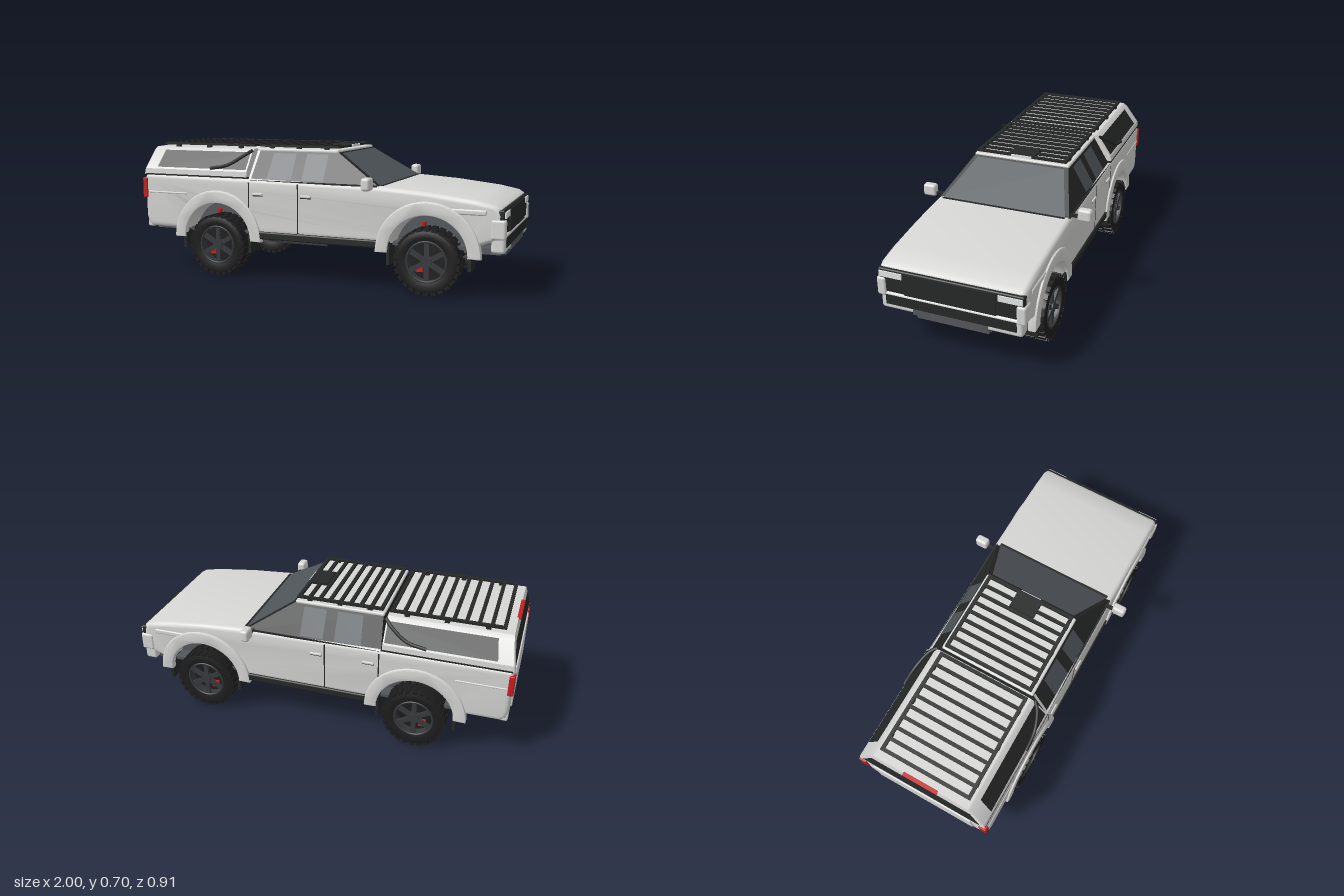
import * as THREE from 'three';
import { toCreasedNormals, mergeGeometries } from 'three/addons/utils/BufferGeometryUtils.js';
import { RoundedBoxGeometry } from 'three/addons/geometries/RoundedBoxGeometry.js';

const mat = (name, color, side = THREE.FrontSide) => {
  const m = new THREE.MeshStandardMaterial({ color, side });
  m.name = name;
  return m;
};

export function createModel() {
  const paint = mat('body paint', 0xd6d6d5);
  const trim = mat('black trim', 0x262727, THREE.DoubleSide);
  const glass = mat('grey glass', 0x50555a, THREE.DoubleSide);
  const rubber = mat('tyre rubber', 0x1d1d1e);
  const steel = mat('chassis steel', 0x54575a);
  const rimMat = mat('dark rim', 0x36393c, THREE.DoubleSide);
  const red = mat('red', 0xc41f1f);
  const lamp = mat('lamp', 0xe4e5e5);

  const root = new THREE.Group();
  root.name = 'pickupTruck';
  const add = (name, geo, m, parent = root) => {
    const mesh = new THREE.Mesh(geo, m);
    mesh.name = name;
    parent.add(mesh);
    return mesh;
  };
  // box given by its extents on each axis
  const box = (name, m, x0, x1, y0, y1, z0, z1, round = 0, parent = root) => {
    const d = [x1 - x0, y1 - y0, z1 - z0];
    const g = round ? new RoundedBoxGeometry(...d, 3, round) : new THREE.BoxGeometry(...d);
    g.translate((x0 + x1) / 2, (y0 + y1) / 2, (z0 + z1) / 2);
    return add(name, g, m, parent);
  };
  // the same box on both sides of the truck
  const pair = (name, m, x0, x1, y0, y1, z0, z1, round = 0) => {
    box(name + 'Left', m, x0, x1, y0, y1, z0, z1, round);
    box(name + 'Right', m, x0, x1, y0, y1, -z1, -z0, round);
  };
  const rod = (name, m, a, b, r, sides = 16) => {
    const p = new THREE.Vector3(...a), q = new THREE.Vector3(...b);
    const mesh = add(name, new THREE.CylinderGeometry(r, r, p.distanceTo(q), sides), m);
    mesh.position.copy(p).lerp(q, 0.5);
    mesh.quaternion.setFromUnitVectors(new THREE.Vector3(0, 1, 0), q.sub(p).normalize());
    return mesh;
  };
  // flat patch drawn in (x, y), laid on a sloping side given by z = zAt(y)
  const patch = (name, m, pts, zAt) => {
    for (const s of [1, -1]) {
      const g = new THREE.ShapeGeometry(new THREE.Shape(pts.map(p => new THREE.Vector2(...p))));
      const a = g.attributes.position;
      for (let i = 0; i < a.count; i++) a.setZ(i, s * zAt(a.getY(i)));
      g.computeVertexNormals();
      add(name, g, m);
    }
  };
  // flat quad from four corners
  const quad = (name, m, pts) => {
    const g = new THREE.BufferGeometry().setFromPoints(pts.map(p => new THREE.Vector3(...p)));
    g.setIndex([0, 1, 2, 0, 2, 3]);
    g.computeVertexNormals();
    return add(name, g, m);
  };
  const wheelX = [-0.53, 0.627], wheelY = 0.165;

  // lower body: side profile with wheel openings
  const side = new THREE.Shape();
  side.moveTo(0.965, 0.25);
  for (const x of [wheelX[1] + 0.01, wheelX[0]]) side.absarc(x, 0.19, 0.2, 0.25, Math.PI - 0.25, false);
  [[-0.955, 0.24], [-0.98, 0.26], [-0.992, 0.3], [-0.992, 0.515], [-0.985, 0.53], [-0.345, 0.53], [0.37, 0.52],
    [0.62, 0.503], [0.85, 0.477], [0.95, 0.457], [0.975, 0.44], [0.985, 0.41], [0.985, 0.3]].forEach(p => side.lineTo(...p));
  const bodyGeo = new THREE.ExtrudeGeometry(side, { depth: 0.67, bevelSize: 0.025, bevelOffset: -0.025,
    bevelThickness: 0.025, bevelSegments: 4, curveSegments: 24 }).translate(0, 0, -0.335);
  add('lowerBody', toCreasedNormals(bodyGeo, 0.6), paint);
  box('innerWells', steel, -0.93, 0.93, 0.245, 0.45, -0.245, 0.245);

  // wheel arch flares
  for (const x of wheelX) for (const s of [1, -1]) {
    const f = new THREE.Shape();
    f.absellipse(x, 0.2, 0.262, 0.258, -0.02, Math.PI + 0.02, false);
    f.absellipse(x, 0.2, 0.198, 0.19, Math.PI + 0.02, -0.02, true);
    const g = new THREE.ExtrudeGeometry(f, { depth: 0.026, bevelSize: 0.008, bevelOffset: -0.008, bevelThickness: 0.008,
      bevelSegments: 2, curveSegments: 28 }).translate(0, 0, s > 0 ? 0.337 : -0.363);
    add('archFlare', toCreasedNormals(g, 0.6), paint);
  }

  // cab
  const cabZ = y => 0.35 - 0.092 * (y - 0.515) / 0.16;
  const cabGeo = new THREE.BoxGeometry(1, 1, 1);
  const cp = cabGeo.attributes.position;
  for (let i = 0; i < cp.count; i++) {
    const top = cp.getY(i) > 0, y = top ? 0.675 : 0.515;
    cp.setXYZ(i, cp.getX(i) < 0 ? (top ? -0.33 : -0.345) : (top ? 0.125 : 0.38), y, Math.sign(cp.getZ(i)) * cabZ(y));
  }
  cabGeo.computeVertexNormals();
  add('cabPillars', cabGeo, trim);
  box('cabRoof', paint, -0.335, 0.13, 0.664, 0.683, -0.262, 0.262, 0.008);
  quad('windscreen', glass, [[0.384, 0.518, 0.33], [0.384, 0.518, -0.33], [0.145, 0.668, -0.24], [0.145, 0.668, 0.24]]);
  const glassZ = y => cabZ(y) + 0.003;
  patch('rearDoorGlass', glass, [[-0.24, 0.53], [-0.1, 0.53], [-0.1, 0.66], [-0.23, 0.66]], glassZ);
  patch('frontDoorGlass', glass, [[-0.04, 0.53], [0.08, 0.53], [0.08, 0.66], [-0.04, 0.66]], glassZ);
  patch('cabRearPillar', paint, [[-0.344, 0.52], [-0.33, 0.52], [-0.315, 0.67], [-0.33, 0.67]], glassZ);

  // canopy over the bed, leaning forward at the rear
  const c = [[0.357, 0.53], [0.354, 0.562], [0.283, 0.665], [0.262, 0.678], [0.15, 0.682]];
  const section = new THREE.Shape([...c, ...c.map(([z, y]) => [-z, y]).reverse()].map(p => new THREE.Vector2(...p)));
  const canopyGeo = new THREE.ExtrudeGeometry(section, { depth: 0.64, bevelEnabled: false }).rotateY(-Math.PI / 2);
  const ca = canopyGeo.attributes.position;
  for (let i = 0; i < ca.count; i++) {
    const rear = ca.getX(i) < -0.3, y = ca.getY(i);
    ca.setX(i, ca.getX(i) - 0.352 + (rear ? (y - 0.53) * 0.18 : 0));
  }
  add('canopy', toCreasedNormals(canopyGeo, 0.5), paint);
  const canopyZ = y => 0.357 - 0.071 * (y - 0.562) / 0.103;
  patch('canopySideWindow', trim, [[-0.91, 0.572], [-0.36, 0.572], [-0.36, 0.662], [-0.895, 0.662]], canopyZ);
  quad('canopyRearWindow', trim, [[-0.992, 0.55, -0.335], [-0.992, 0.55, 0.335], [-0.976, 0.652, 0.275], [-0.976, 0.652, -0.275]]);
  box('highBrakeLight', red, -0.978, -0.958, 0.672, 0.684, -0.095, 0.095);
  for (const s of [1, -1]) {
    const path = new THREE.CatmullRomCurve3([[-0.57, 0.575, 0.354], [-0.47, 0.595, 0.346], [-0.38, 0.65, 0.312], [-0.35, 0.672, 0.285]]
      .map(([x, y, z]) => new THREE.Vector3(x, y, s * z)));
    add('sportBar', new THREE.TubeGeometry(path, 20, 0.009, 8), trim);
  }

  // roof racks: frame, cross slats and feet
  const rack = (name, x0, x1, w, n) => {
    const g = new THREE.Group();
    g.name = name;
    root.add(g);
    const y0 = 0.69, y1 = 0.702;
    for (const s of [1, -1]) box('rackRail', trim, x0, x1, y0, y1, s * w - 0.009, s * w + 0.009, 0, g);
    for (let i = 0; i <= n; i++) {
      const x = x0 + 0.009 + (x1 - x0 - 0.018) * i / n;
      box('rackSlat', trim, x - 0.009, x + 0.009, y0, y1, -w, w, 0, g);
    }
    for (const s of [1, -1]) for (const t of [0.15, 0.5, 0.85]) {
      const x = x0 + (x1 - x0) * t;
      box('rackFoot', trim, x - 0.012, x + 0.012, 0.675, y0, s * w - 0.01, s * w + 0.01, 0, g);
    }
  };
  rack('rearRack', -0.925, -0.36, 0.24, 9);
  rack('frontRack', -0.325, 0.125, 0.238, 8);
  box('rackLampHousing', trim, 0.02, 0.12, 0.688, 0.704, -0.07, 0.07);
  box('rackLamp', lamp, 0.12, 0.129, 0.689, 0.702, -0.056, 0.056);

  // nose
  box('grilleSurround', trim, 0.945, 0.992, 0.315, 0.436, -0.357, 0.357, 0.008);
  box('grille', trim, 0.98, 0.998, 0.318, 0.426, -0.225, 0.225);
  pair('headlamp', lamp, 0.97, 0.998, 0.396, 0.425, 0.235, 0.35);
  pair('bumperCorner', paint, 0.93, 1, 0.295, 0.39, 0.32, 0.366, 0.012);
  box('frontBumper', paint, 0.93, 0.996, 0.228, 0.317, -0.35, 0.35, 0.015);
  box('lowerIntake', trim, 0.98, 1, 0.256, 0.304, -0.322, 0.322);
  box('skidPlate', steel, 0.9, 0.975, 0.195, 0.232, -0.18, 0.18);
  box('skidLip', steel, 0.96, 1, 0.226, 0.258, -0.185, 0.185);
  box('bonnetSeam', trim, 0.365, 0.392, 0.513, 0.521, -0.33, 0.33);

  // tail
  box('tailgate', paint, -0.999, -0.98, 0.285, 0.52, -0.28, 0.28, 0.006);
  pair('tailLight', red, -1, -0.972, 0.4, 0.51, 0.325, 0.367, 0.005);
  box('rearBumper', paint, -0.99, -0.95, 0.235, 0.275, -0.345, 0.345, 0.01);

  // side details
  pair('canopySeam', trim, -0.985, -0.345, 0.527, 0.535, 0.335, 0.3585);
  pair('beltSeam', trim, -0.34, 0.37, 0.514, 0.522, 0.33, 0.354);
  for (const x of [-0.338, -0.055]) pair('doorSeam', trim, x - 0.003, x + 0.003, 0.255, 0.51, 0.35, 0.3608);
  for (const x of [-0.285, -0.01]) pair('doorHandle', paint, x - 0.03, x + 0.03, 0.443, 0.456, 0.355, 0.368, 0.004);
  for (const x of [-0.285, -0.01]) pair('handleRecess', trim, x - 0.03, x + 0.03, 0.438, 0.443, 0.355, 0.3615);
  pair('fenderCrease', paint, 0.65, 0.91, 0.405, 0.432, 0.345, 0.366, 0.008);
  pair('sideCrease', paint, -0.97, -0.72, 0.428, 0.438, 0.352, 0.364, 0.004);
  pair('sill', trim, -0.335, 0.43, 0.213, 0.253, 0.3, 0.368, 0.008);
  pair('mirrorStalk', trim, 0.33, 0.35, 0.514, 0.526, 0.32, 0.4);
  pair('mirror', paint, 0.32, 0.365, 0.503, 0.566, 0.385, 0.455, 0.014);
  for (const x of [-0.735, -0.335, 0.432, 0.835]) pair('mudFlap', trim, x - 0.008, x + 0.008, 0.135, 0.25, 0.265, 0.362);

  // wheels
  const tyreProfile = [[0.098, -0.05], [0.12, -0.056], [0.148, -0.056], [0.158, -0.046], [0.159, 0], [0.158, 0.046],
    [0.148, 0.056], [0.12, 0.056], [0.098, 0.05]].map(p => new THREE.Vector2(...p));
  const tyreGeo = new THREE.LatheGeometry(tyreProfile, 48).rotateX(Math.PI / 2);
  const knobs = [];
  for (let i = 0; i < 26; i++) for (const s of [1, -1]) {
    const a = (i + (s > 0 ? 0.5 : 0)) * Math.PI / 13;
    knobs.push(new THREE.BoxGeometry(0.014, 0.026, 0.052).translate(0.157, 0, s * 0.03).rotateZ(a));
  }
  const treadGeo = mergeGeometries(knobs);
  const spokes = [];
  for (let i = 0; i < 6; i++) {
    spokes.push(new THREE.BoxGeometry(0.075, 0.024, 0.014).translate(0.06, 0, 0.038).rotateZ(Math.PI / 6 + i * Math.PI / 3));
  }
  const spokeGeo = mergeGeometries(spokes);
  const barrel = new THREE.CylinderGeometry(0.1, 0.1, 0.1, 32, 1, true).rotateX(Math.PI / 2);
  const disc = new THREE.CylinderGeometry(0.098, 0.098, 0.02, 32).rotateX(Math.PI / 2).translate(0, 0, -0.01);
  const hub = new THREE.CylinderGeometry(0.026, 0.03, 0.026, 20).rotateX(Math.PI / 2).translate(0, 0, 0.038);
  const lip = new THREE.TorusGeometry(0.099, 0.006, 8, 36).translate(0, 0, 0.05);
  for (const x of wheelX) for (const s of [1, -1]) {
    const w = new THREE.Group();
    w.name = 'wheel';
    w.position.set(x, wheelY, s * 0.315);
    if (s < 0) w.rotation.y = Math.PI;
    root.add(w);
    add('tyre', tyreGeo, rubber, w);
    add('tread', treadGeo, rubber, w);
    add('rimBarrel', barrel, rimMat, w);
    add('brakeDisc', disc, rubber, w);
    add('spokes', spokeGeo, rimMat, w);
    add('hub', hub, rimMat, w);
    add('rimLip', lip, rimMat, w);
    const z = s * 0.333;
    box('brakeCaliper', red, x - 0.058, x - 0.022, 0.11, 0.14, z - 0.012, z + 0.012);
  }

  // chassis, axles and running gear
  box('floorPan', steel, -0.94, 0.93, 0.228, 0.246, -0.315, 0.315);
  pair('chassisRail', steel, -0.8, 0.95, 0.188, 0.23, 0.14, 0.18);
  for (const x of [-0.78, -0.25, 0.1, 0.42, 0.86]) box('crossMember', steel, x - 0.02, x + 0.02, 0.195, 0.225, -0.16, 0.16);
  box('fuelTank', steel, -0.3, -0.08, 0.17, 0.23, -0.13, 0.07);
  box('gearbox', steel, 0.14, 0.36, 0.158, 0.23, -0.08, 0.08);
  wheelX.forEach((x, i) => {
    rod('axle', steel, [x, wheelY, -0.29], [x, wheelY, 0.29], 0.02);
    const d = add('differential', new THREE.SphereGeometry(i ? 0.045 : 0.057, 24, 16), steel);
    d.position.set(x, wheelY, i ? -0.03 : 0);
    for (const s of [1, -1]) rod('shockAbsorber', red, [x - 0.045, 0.18, s * 0.24], [x - 0.045, 0.345, s * 0.255], 0.012);
  });
  rod('rearDriveShaft', steel, [-0.53, wheelY, 0], [0.2, 0.19, 0], 0.014);
  rod('frontDriveShaft', steel, [0.627, wheelY, -0.03], [0.2, 0.19, -0.03], 0.012);
  rod('exhaustPipe', steel, [-0.85, 0.2, 0.21], [0.4, 0.2, 0.21], 0.012);
  rod('silencer', steel, [-0.25, 0.2, 0.225], [0.05, 0.2, 0.225], 0.026);
  return root;
}
